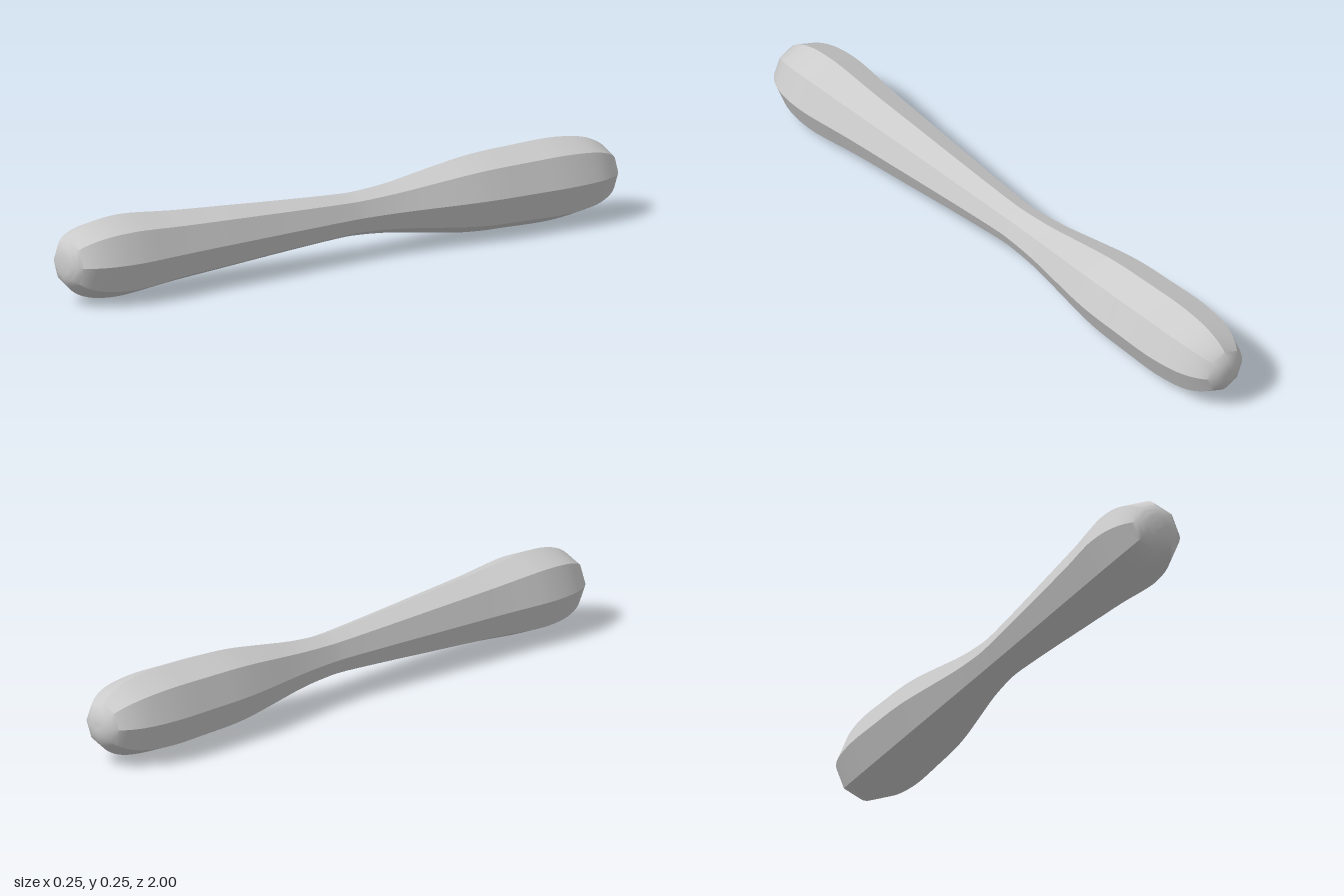
import * as THREE from 'three';
import { toCreasedNormals } from 'three/addons/utils/BufferGeometryUtils.js';

const SIDES = 8;
const AXIS_HEIGHT = 0.127;

// Half-profile as [radius, z], from the back tip to the front tip
const PROFILE = [
  [0, -1], [0.035, -0.995], [0.068, -0.975], [0.093, -0.94], [0.112, -0.89],
  [0.123, -0.82], [0.127, -0.74], [0.124, -0.62], [0.121, -0.52], [0.113, -0.43],
  [0.095, -0.31], [0.077, -0.19], [0.068, -0.08], [0.068, 0], [0.08, 0.2],
  [0.094, 0.4], [0.108, 0.6], [0.121, 0.73], [0.125, 0.8], [0.12, 0.87],
  [0.106, 0.925], [0.084, 0.965], [0.055, 0.99], [0.027, 0.998], [0, 1],
];

export function createModel() {
  const group = new THREE.Group();
  group.name = 'handle';

  // Smooth curve through the profile, turned into an eight-sided bar
  const curve = new THREE.SplineCurve(PROFILE.map(([r, z]) => new THREE.Vector2(r, z)));
  const points = curve.getPoints(72).map((p) => new THREE.Vector2(Math.max(p.x, 0), p.y));
  points[0].x = points[points.length - 1].x = 0;

  // Lay the axis along z; side edges stay sharp and fade out at the tips
  let geometry = new THREE.LatheGeometry(points, SIDES);
  geometry.rotateX(Math.PI / 2);
  geometry = toCreasedNormals(geometry, THREE.MathUtils.degToRad(30));

  const bar = new THREE.Mesh(geometry, new THREE.MeshStandardMaterial({ color: 0xcccccc }));
  bar.name = 'waistedBar';
  bar.position.y = AXIS_HEIGHT;
  group.add(bar);
  return group;
}
